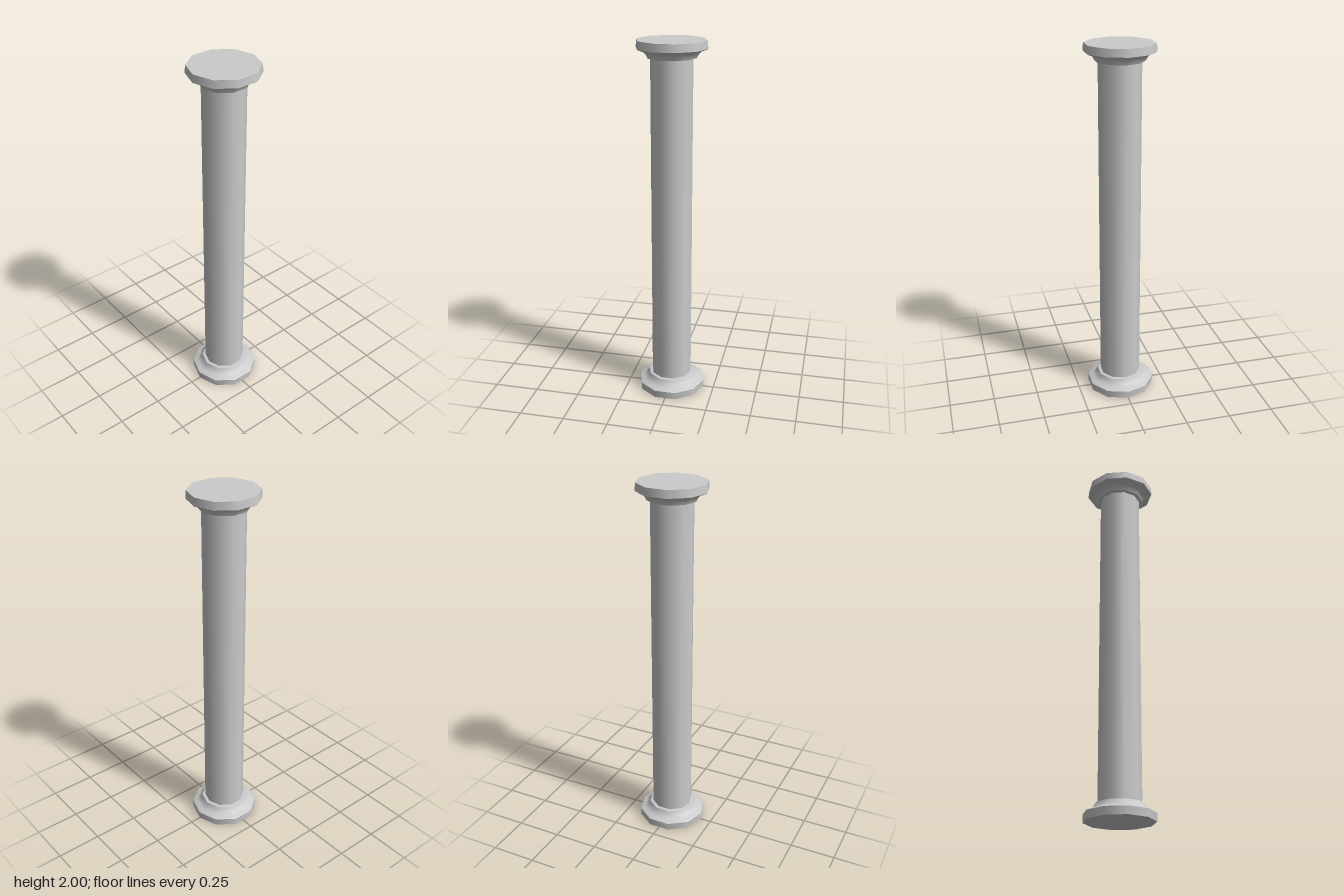
import * as THREE from 'three';

const SIDES = 10;
const HEIGHT = 2;
const material = new THREE.MeshStandardMaterial({ color: 0xcccccc });

// Ten-sided turned surface with a corner on the x axis; profile runs bottom to top
function turned(name, profile) {
  const points = profile.map(([r, y]) => new THREE.Vector2(r, y));
  const mesh = new THREE.Mesh(new THREE.LatheGeometry(points, SIDES, Math.PI / 2), material);
  mesh.name = name;
  return mesh;
}

// Moulding sections from the outer end inwards; each break is a sharp edge
const sections = {
  EndFace: [[0, 0], [0.187, 0]],
  Slab: [[0.187, 0], [0.19, 0.042]],
  SlabLip: [[0.19, 0.042], [0.182, 0.047]],
  Cove: [[0.182, 0.047], [0.16, 0.054], [0.145, 0.066], [0.137, 0.08], [0.132, 0.09]],
  Collar: [[0.132, 0.09], [0.113, 0.092]],
};

function moulding(name, flip) {
  const group = new THREE.Group();
  group.name = name;
  for (const [part, profile] of Object.entries(sections)) {
    const placed = flip ? profile.map(([r, y]) => [r, HEIGHT - y]).reverse() : profile;
    group.add(turned(name + part, placed));
  }
  return group;
}

export function createModel() {
  const column = new THREE.Group();
  column.name = 'column';
  column.add(
    moulding('base', false),
    turned('shaft', [[0.114, 0.08], [0.114, HEIGHT - 0.08]]),
    moulding('capital', true),
  );
  return column;
}
